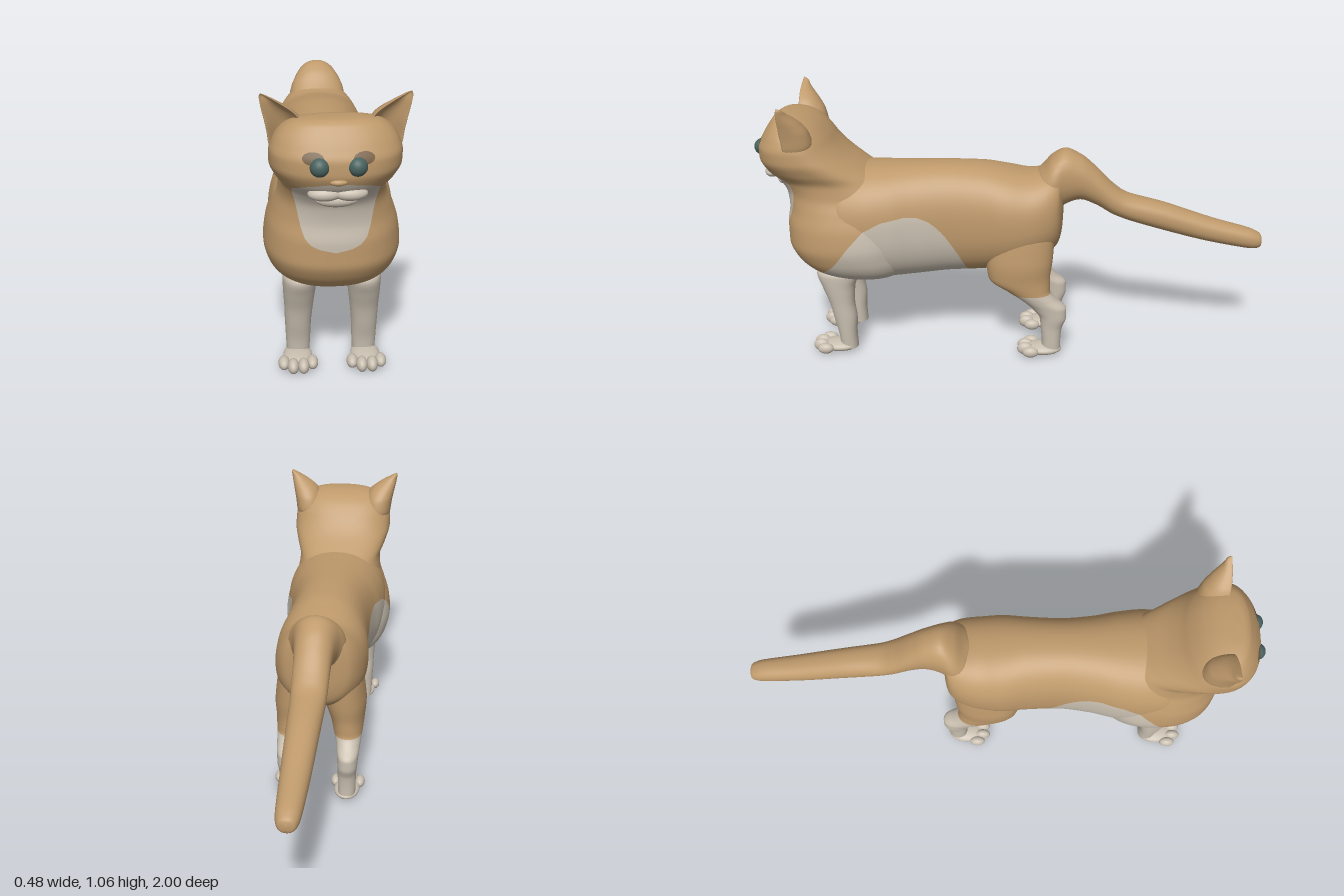
import * as THREE from 'three';

const material = (name, color) => {
  const m = new THREE.MeshStandardMaterial({ color });
  m.name = name;
  return m;
};

// Smooth monotone interpolation of table rows at a fractional row index
function sampleRows(rows, s) {
  const i = Math.min(Math.floor(s), rows.length - 2), t = s - i;
  const slope = (k, c) => (rows[k + 1] && rows[k] ? rows[k + 1][c] - rows[k][c] : null);
  const tangent = (k, c) => {
    const a = slope(k - 1, c), b = slope(k, c);
    if (a === null || b === null) return a ?? b;
    return a * b <= 0 ? 0 : (2 * a * b) / (a + b);
  };
  return rows[0].map((_, c) => {
    const p = rows[i][c], q = rows[i + 1][c];
    const h = t * t * (3 - 2 * t);
    return p + (q - p) * h + tangent(i, c) * t * (1 - t) * (1 - t) - tangent(i + 1, c) * t * t * (1 - t);
  });
}

// Skin over oval sections. Row: [position on axis, low, high, centre x, half width]
// axis 'z': low/high are y; axis 'y': low/high are z (back, front)
function loft(axis, rows, { around = 48, steps = 6, power = 2.2, side = 1, dent = 0 } = {}) {
  const pos = [], index = [], count = (rows.length - 1) * steps;
  const round = v => Math.sign(v) * Math.abs(v) ** (2 / power);
  for (let i = 0; i <= count; i++) {
    const [t, lo, hi, xc, w] = sampleRows(rows, i / steps);
    for (let j = 0; j < around; j++) {
      const a = (j / around) * Math.PI * 2, sn = round(Math.sin(a));
      const x = side * xc + w * round(Math.cos(a));
      const v = (lo + hi) / 2 + ((hi - lo) / 2) * (sn > 0 ? sn - dent * sn * sn : sn);
      if (axis === 'z') pos.push(x, v, t); else pos.push(x, t, v);
      if (i === count) continue;
      const k = (j + 1) % around, p = i * around;
      const [A, B, C, D] = [p + j, p + k, p + around + k, p + around + j];
      if (axis === 'z') index.push(A, B, C, A, C, D); else index.push(A, C, B, A, D, C);
    }
  }
  const g = new THREE.BufferGeometry();
  g.setAttribute('position', new THREE.Float32BufferAttribute(pos, 3));
  g.setIndex(index);
  g.computeVertexNormals();
  return g;
}

// Cut a surface along region(x, y, z) = 0; returns [inside, outside]
function splitSurface(geometry, region) {
  const src = geometry.index ? geometry.toNonIndexed() : geometry;
  const P = src.attributes.position, N = src.attributes.normal;
  return [1, -1].map(sign => {
    const pos = [], nor = [];
    for (let i = 0; i < P.count; i += 3) {
      const tri = [0, 1, 2].map(k => {
        const p = new THREE.Vector3().fromBufferAttribute(P, i + k);
        return { p, n: new THREE.Vector3().fromBufferAttribute(N, i + k), f: sign * region(p.x, p.y, p.z) };
      });
      const poly = [];
      tri.forEach((a, k) => {
        const b = tri[(k + 1) % 3];
        if (a.f >= 0) poly.push(a);
        if (a.f >= 0 !== b.f >= 0) {
          const t = a.f / (a.f - b.f);
          poly.push({ p: a.p.clone().lerp(b.p, t), n: a.n.clone().lerp(b.n, t) });
        }
      });
      for (let k = 1; k + 1 < poly.length; k++)
        for (const v of [poly[0], poly[k], poly[k + 1]]) { pos.push(...v.p); nor.push(...v.n); }
    }
    const g = new THREE.BufferGeometry();
    g.setAttribute('position', new THREE.Float32BufferAttribute(pos, 3));
    g.setAttribute('normal', new THREE.Float32BufferAttribute(nor, 3));
    return g;
  });
}

function lookUp(points, x) {
  if (x <= points[0][0]) return points[0][1];
  for (let i = 1; i < points.length; i++) {
    const [a, fa] = points[i - 1], [b, fb] = points[i];
    if (x <= b) return fa + ((fb - fa) * (x - a)) / (b - a);
  }
  return points[points.length - 1][1];
}

// Marking outlines: height of the belly patch along z, half width of the bib along y
const bellyTop = [[0.14, 0.25], [0.17, 0.36], [0.21, 0.46], [0.26, 0.54], [0.31, 0.59], [0.36, 0.613], [0.41, 0.617],
  [0.5, 0.6], [0.57, 0.565], [0.63, 0.5], [0.69, 0.42], [0.74, 0.375], [0.79, 0.357], [1, 0.357]];
const bibWidth = [[0.52, -0.05], [0.53, 0.03], [0.545, 0.075], [0.57, 0.1], [0.61, 0.114], [0.68, 0.128],
  [0.73, 0.14], [0.76, 0.142], [0.78, 0.115], [0.795, 0.07], [0.8, 0.02], [0.81, -0.05]];
const whiteArea = (x, y, z) =>
  Math.max(lookUp(bellyTop, z) - y, Math.min(lookUp(bibWidth, y) - Math.abs(x), z - 0.76));
const browArea = (x, y, z) =>
  Math.min(1 - ((Math.abs(x) - 0.078) / 0.034) ** 2 - ((y - 0.885) / 0.02) ** 2, (z - 0.85) * 20);

export function createModel() {
  const cat = new THREE.Group();
  cat.name = 'cat';
  const tan = material('tan fur', 0xbe996b), white = material('white fur', 0xc9bfb0);
  const brown = material('brow brown', 0x7a6248), teal = material('eye teal', 0x48625f);
  const add = (name, geometry, mat) => {
    const m = new THREE.Mesh(geometry, mat);
    m.name = name;
    cat.add(m);
    return m;
  };
  const ball = (name, mat, at, size) => {
    const m = add(name, new THREE.SphereGeometry(1, 24, 16), mat);
    m.position.set(...at);
    m.scale.set(...size);
    return m;
  };

  // Torso
  const torso = loft('z', [
    [-0.205, 0.6, 0.68, 0, 0], [-0.2, 0.52, 0.74, 0, 0.07], [-0.185, 0.46, 0.77, 0, 0.125],
    [-0.14, 0.42, 0.765, 0, 0.16], [-0.07, 0.39, 0.755, 0, 0.178], [0.02, 0.36, 0.77, 0, 0.184],
    [0.12, 0.345, 0.785, 0, 0.173], [0.25, 0.335, 0.788, 0, 0.166], [0.38, 0.32, 0.785, 0, 0.18],
    [0.48, 0.312, 0.782, 0, 0.203], [0.58, 0.31, 0.78, 0, 0.215], [0.66, 0.33, 0.77, 0, 0.21],
    [0.72, 0.4, 0.72, 0, 0.15], [0.74, 0.55, 0.6, 0, 0]], { around: 64, power: 2.3 });
  const [belly, back] = splitSurface(torso, whiteArea);
  add('belly', belly, white);
  add('back', back, tan);

  // Chest, neck and head as one upright form
  const front = loft('y', [
    [0.303, 0.55, 0.62, 0, 0], [0.31, 0.48, 0.7, 0, 0.08], [0.335, 0.44, 0.765, 0, 0.15],
    [0.37, 0.41, 0.825, 0, 0.195], [0.42, 0.4, 0.872, 0, 0.222], [0.48, 0.4, 0.895, 0, 0.234],
    [0.55, 0.41, 0.895, 0, 0.226], [0.62, 0.43, 0.885, 0, 0.204], [0.68, 0.46, 0.892, 0, 0.182],
    [0.73, 0.5, 0.92, 0, 0.177], [0.78, 0.575, 0.965, 0, 0.198], [0.83, 0.645, 0.985, 0, 0.213],
    [0.87, 0.685, 0.983, 0, 0.212], [0.91, 0.715, 0.965, 0, 0.2], [0.95, 0.755, 0.94, 0, 0.172],
    [0.975, 0.8, 0.92, 0, 0.13], [0.985, 0.84, 0.9, 0, 0.07], [0.987, 0.87, 0.88, 0, 0]],
  { around: 96, power: 2.35 });
  const [bib, fur] = splitSurface(front, whiteArea);
  const [brows, head] = splitSurface(fur, browArea);
  add('bib', bib, white);
  add('brows', brows, brown);
  add('headAndChest', head, tan);

  // Tail with its raised root
  add('tail', loft('z', [
    [-1, 0.46, 0.475, 0, 0], [-0.993, 0.445, 0.495, 0, 0.028], [-0.96, 0.438, 0.515, 0, 0.042],
    [-0.8, 0.465, 0.56, 0, 0.052], [-0.6, 0.515, 0.625, 0, 0.06], [-0.45, 0.56, 0.665, 0, 0.066],
    [-0.4, 0.58, 0.7, 0, 0.068], [-0.33, 0.62, 0.77, 0, 0.07], [-0.27, 0.64, 0.82, 0, 0.076],
    [-0.21, 0.62, 0.845, 0, 0.09], [-0.16, 0.58, 0.82, 0, 0.112], [-0.12, 0.58, 0.775, 0, 0.11],
    [-0.08, 0.6, 0.74, 0, 0]], { around: 32 }), tan);

  // Nose and muzzle
  ball('nose', tan, [0, 0.81, 0.978], [0.028, 0.011, 0.014]);
  ball('chin', white, [0, 0.72, 0.9], [0.07, 0.025, 0.03]);

  for (const side of [1, -1]) {
    const label = side > 0 ? 'left' : 'right';

    ball(label + 'Eye', teal, [side * 0.058, 0.858, 0.968], [0.032, 0.032, 0.032]);
    ball(label + 'Muzzle', white, [side * 0.04, 0.757, 0.938], [0.055, 0.024, 0.03]);

    // Cupped ear
    add(label + 'Ear', loft('y', [
      [0.87, 0.76, 0.9, 0.15, 0.055], [0.9, 0.75, 0.925, 0.153, 0.06], [0.945, 0.76, 0.925, 0.159, 0.06],
      [0.985, 0.785, 0.91, 0.173, 0.054], [1.03, 0.825, 0.885, 0.207, 0.029],
      [1.052, 0.84, 0.87, 0.228, 0.01], [1.06, 0.855, 0.858, 0.234, 0]],
    { around: 40, side, dent: 1.4 }), tan);

    // Front leg
    add(label + 'FrontLeg', loft('y', [
      [0.02, 0.63, 0.7, 0.117, 0.04], [0.08, 0.632, 0.705, 0.117, 0.043], [0.15, 0.628, 0.72, 0.117, 0.046],
      [0.22, 0.635, 0.735, 0.115, 0.05], [0.29, 0.63, 0.76, 0.113, 0.056],
      [0.35, 0.61, 0.78, 0.11, 0.06], [0.4, 0.64, 0.74, 0.1, 0]], { around: 32, side }), white);

    // Hind leg: tan thigh over a white shank
    const hind = loft('y', [
      [0.02, -0.2, -0.12, 0.12, 0.035], [0.06, -0.2, -0.125, 0.12, 0.036], [0.12, -0.205, -0.12, 0.12, 0.037],
      [0.17, -0.222, -0.115, 0.122, 0.04], [0.21, -0.222, -0.085, 0.122, 0.043], [0.25, -0.18, -0.04, 0.12, 0.05],
      [0.29, -0.155, 0.02, 0.115, 0.06], [0.34, -0.155, 0.09, 0.11, 0.07], [0.42, -0.165, 0.1, 0.1, 0.083],
      [0.52, -0.17, 0.09, 0.09, 0.08], [0.62, -0.12, 0.03, 0.08, 0]], { around: 40, side });
    const [shank, thigh] = splitSurface(hind, (x, y) => 0.278 - y);
    add(label + 'HindShank', shank, white);
    add(label + 'Thigh', thigh, tan);

    // Paws with four toes
    for (const [name, heel, x] of [['FrontPaw', 0.63, 0.12], ['HindPaw', -0.205, 0.118]]) {
      ball(label + name, white, [side * x, 0.027, heel + 0.075], [0.052, 0.023, 0.075]);
      [-0.05, -0.018, 0.018, 0.05].forEach((dx, i) => {
        const inner = i === 1 || i === 2;
        ball(label + name + 'Toe', white, [side * x + dx, 0.03, heel + (inner ? 0.148 : 0.125)],
          [0.02, inner ? 0.026 : 0.022, 0.032]);
      });
    }
  }
  return cat;
}
